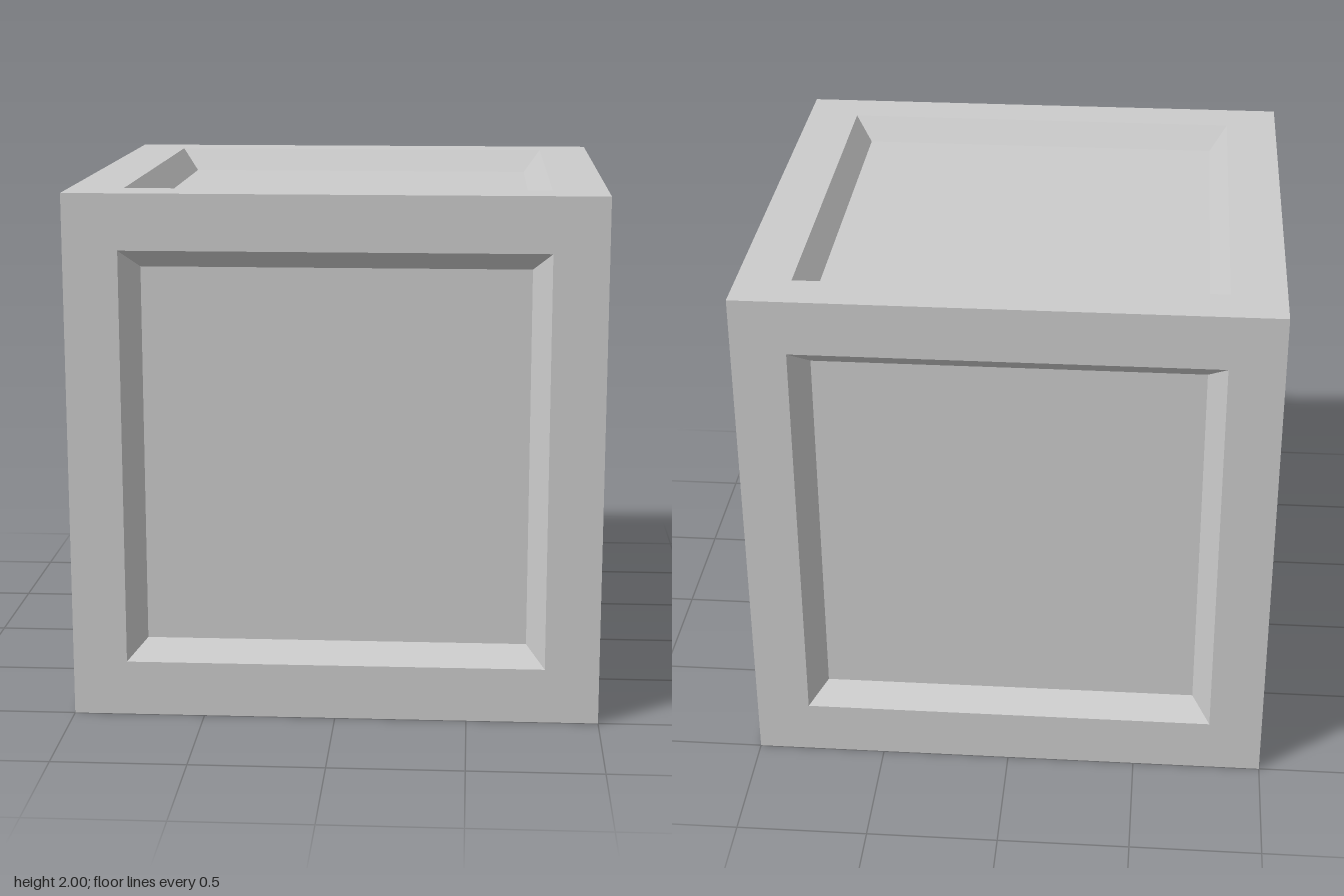
import * as THREE from 'three';

const DEPTH = 0.09; // how far each panel is sunk
const BEVEL = 0.07; // in-plane width of the sloped border
const OPEN = { x: 0.795, y: 0.79, z: 0.82 }; // half sizes of the openings

const material = new THREE.MeshStandardMaterial({ color: 0xcccccc, flatShading: true });

// Corners of a rectangle, counter-clockwise seen from +z
const ring = (a, b, z) => [[-a, -b, z], [a, -b, z], [a, b, z], [-a, b, z]];

function meshFromQuads(name, quads) {
  const geometry = new THREE.BufferGeometry();
  const points = quads.flatMap(([a, b, c, d]) => [a, b, c, a, c, d]).flat();
  geometry.setAttribute('position', new THREE.Float32BufferAttribute(points, 3));
  geometry.computeVertexNormals();
  const mesh = new THREE.Mesh(geometry, material);
  mesh.name = name;
  return mesh;
}

// Four quads joining an outer ring to an inner one
const band = (outer, inner) => outer.map((p, i) => {
  const j = (i + 1) % 4;
  return [p, outer[j], inner[j], inner[i]];
});

// One cube side facing +z: flat frame, sloped border, sunken panel
function createSide(name, a, b) {
  const edge = ring(1, 1, 1);
  const opening = ring(a, b, 1);
  const floor = ring(a - BEVEL, b - BEVEL, 1 - DEPTH);
  const side = new THREE.Group();
  side.name = name;
  side.add(
    meshFromQuads('frame', band(edge, opening)),
    meshFromQuads('bevel', band(opening, floor)),
    meshFromQuads('panel', [floor]),
  );
  return side;
}

export function createModel() {
  const model = new THREE.Group();
  model.name = 'panelledCrate';
  const { x, y, z } = OPEN;
  const quarter = Math.PI / 2;

  // name, half width, half height, rotation about x, rotation about y
  const sides = [
    ['frontSide', x, y, 0, 0],
    ['backSide', x, y, 0, 2 * quarter],
    ['leftSide', z, y, 0, quarter],
    ['rightSide', z, y, 0, -quarter],
    ['topSide', x, z, -quarter, 0],
    ['bottomSide', x, z, quarter, 0],
  ];
  for (const [name, a, b, rx, ry] of sides) {
    const side = createSide(name, a, b);
    side.rotation.set(rx, ry, 0);
    side.position.y = 1;
    model.add(side);
  }
  return model;
}
